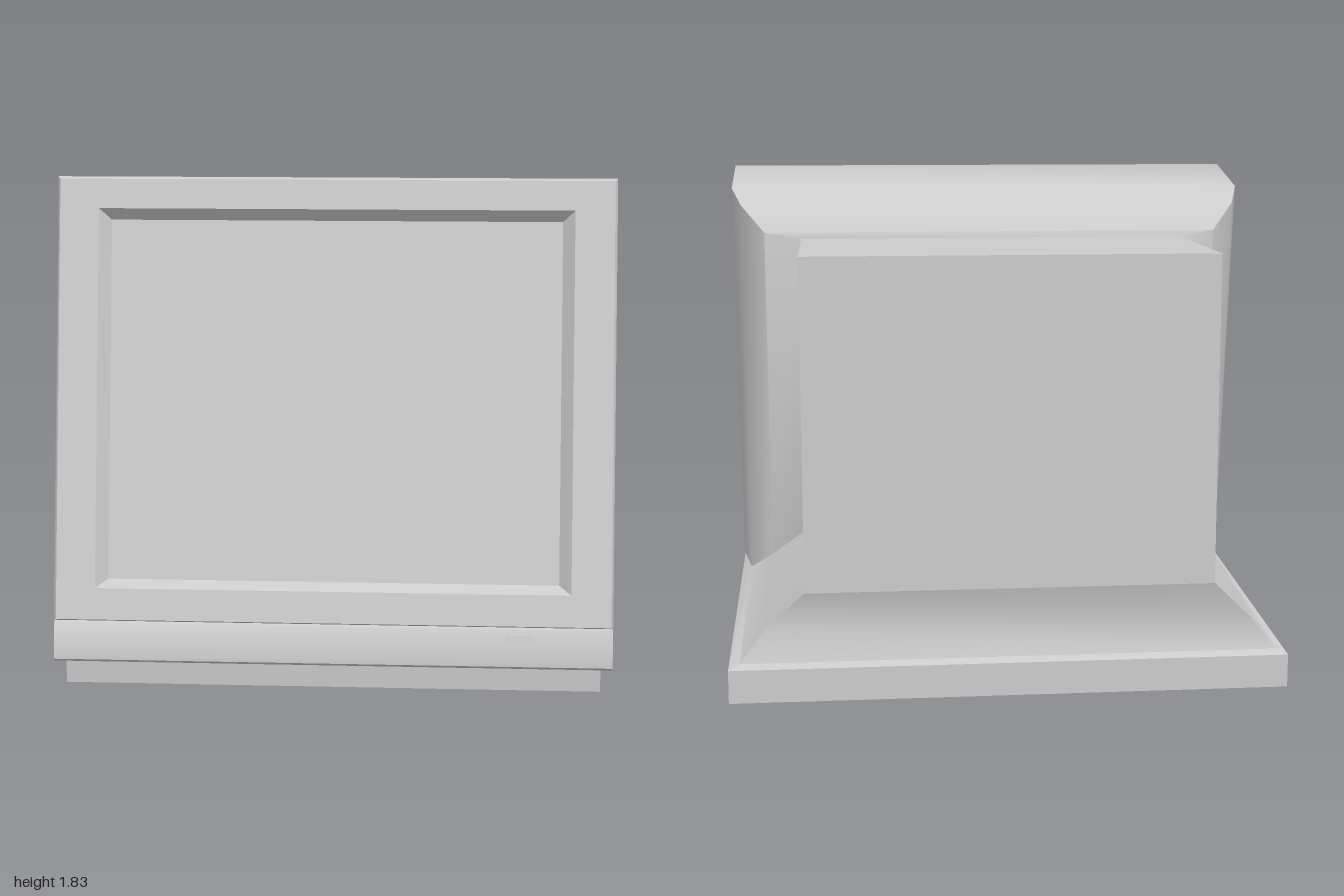
import * as THREE from 'three';
import { toCreasedNormals } from 'three/addons/utils/BufferGeometryUtils.js';

const material = new THREE.MeshStandardMaterial({ color: 0xcccccc });
const SLOPE = 0.2226; // backward lean of the front
const frontZ = (y, inset = 0) => 0.905 - SLOPE * y - inset;

// Skin between successive rings of points
function loft(rings, closed, crease = 0.75) {
  const pos = [];
  for (let i = 0; i < rings.length - 1; i++) {
    const p = rings[i], q = rings[i + 1], n = p.length;
    for (let j = 0; j < (closed ? n : n - 1); j++) {
      const k = (j + 1) % n;
      pos.push(...p[j], ...q[k], ...p[k], ...p[j], ...q[j], ...q[k]);
    }
  }
  const geo = new THREE.BufferGeometry();
  geo.setAttribute('position', new THREE.Float32BufferAttribute(pos, 3));
  return toCreasedNormals(geo, crease);
}

// Side profile of [z, y] points extruded across the width
function across(profile, width) {
  const shape = new THREE.Shape(profile.map(([z, y]) => new THREE.Vector2(z, y)));
  const geo = new THREE.ExtrudeGeometry(shape, { depth: width, bevelEnabled: false });
  geo.translate(0, 0, -width / 2).rotateY(-Math.PI / 2);
  return toCreasedNormals(geo, 0.6);
}

// Rectangular ring, its bottom and top edges each at their own depth
const rect = (x, yb, zb, yt, zt) => [[-x, yb, zb], [x, yb, zb], [x, yt, zt], [-x, yt, zt]];
const onFront = (x, yb, yt, inset) => rect(x, yb, frontZ(yb, inset), yt, frontZ(yt, inset));

export function createModel() {
  const group = new THREE.Group();
  const add = (name, geo) => {
    const mesh = new THREE.Mesh(geo, material);
    mesh.name = name;
    group.add(mesh);
    return mesh;
  };

  // Rounded back of the housing: [half width, bottom y, bottom z, top y, top z]
  const backRings = [
    [1, 0.19, 0.5, 1.75, 0.15],
    [0.96, 0.21, 0.2, 1.69, 0.03],
    [0.87, 0.29, 0.09, 1.59, -0.05],
    [0.73, 0.4, 0.05, 1.567, -0.062],
  ];

  // Screen recess, front frame and rounded back
  const screenRing = onFront(0.81, 0.405, 1.67, 0.045);
  const openingRing = onFront(0.85, 0.385, 1.715, 0);
  const frameRing = onFront(0.99, 0.275, 1.818, 0);
  add('screenBevel', loft([screenRing, openingRing], true, 0.3));
  add('frontFrame', loft([openingRing, frameRing], true));
  add('housing', loft([
    frameRing,
    onFront(1, 0.268, 1.825, 0.012),
    ...backRings.map((r) => rect(...r)),
  ], true));
  const [bl, br, tr, tl] = screenRing;
  add('screen', loft([[tl, tr], [bl, br]], false));

  // Lower control panel, set slightly back from the frame
  add('controlPanel', across([
    [0.5, 0.19], [0.54, 0.05], [0.56, 0.05], [0.82, 0.108], [0.842, 0.116],
    [0.851, 0.126], [0.851, 0.14], [0.828, 0.255], [0.82, 0.263],
  ], 2));

  // Power button
  const button = add('button', new THREE.BoxGeometry(0.1, 0.058, 0.03));
  button.position.set(0.67, 0.207, 0.833);
  button.rotation.x = -Math.atan(SLOPE);

  // Foot strip under the front
  add('footStrip', across([[0.575, 0.02], [0.83, 0.03], [0.835, 0.115], [0.575, 0.08]], 1.92));

  // Base slab
  add('base', across([
    [0.54, 0.015], [0.54, 0.06], [0.5, 0.19], [-0.85, 0.12], [-0.85, 0],
  ], 2));

  // Flared cove from the base up to the tube box: [rear y, rear z]
  const rear = [[0.12, -0.85], [0.135, -0.822], [0.25, -0.787], [0.39, -0.83]];
  add('cove', loft(backRings.map(([x, y, z], i) => {
    const [ry, rz] = rear[i];
    return [[-x, y, z], [-x, ry, rz], [x, ry, rz], [x, y, z]];
  }), false));

  // Tube box behind the housing
  add('tubeBox', across([[0.1, 0.4], [0.1, 1.567], [-0.83, 1.567], [-0.83, 0.388]].reverse(), 1.46));

  return group;
}
